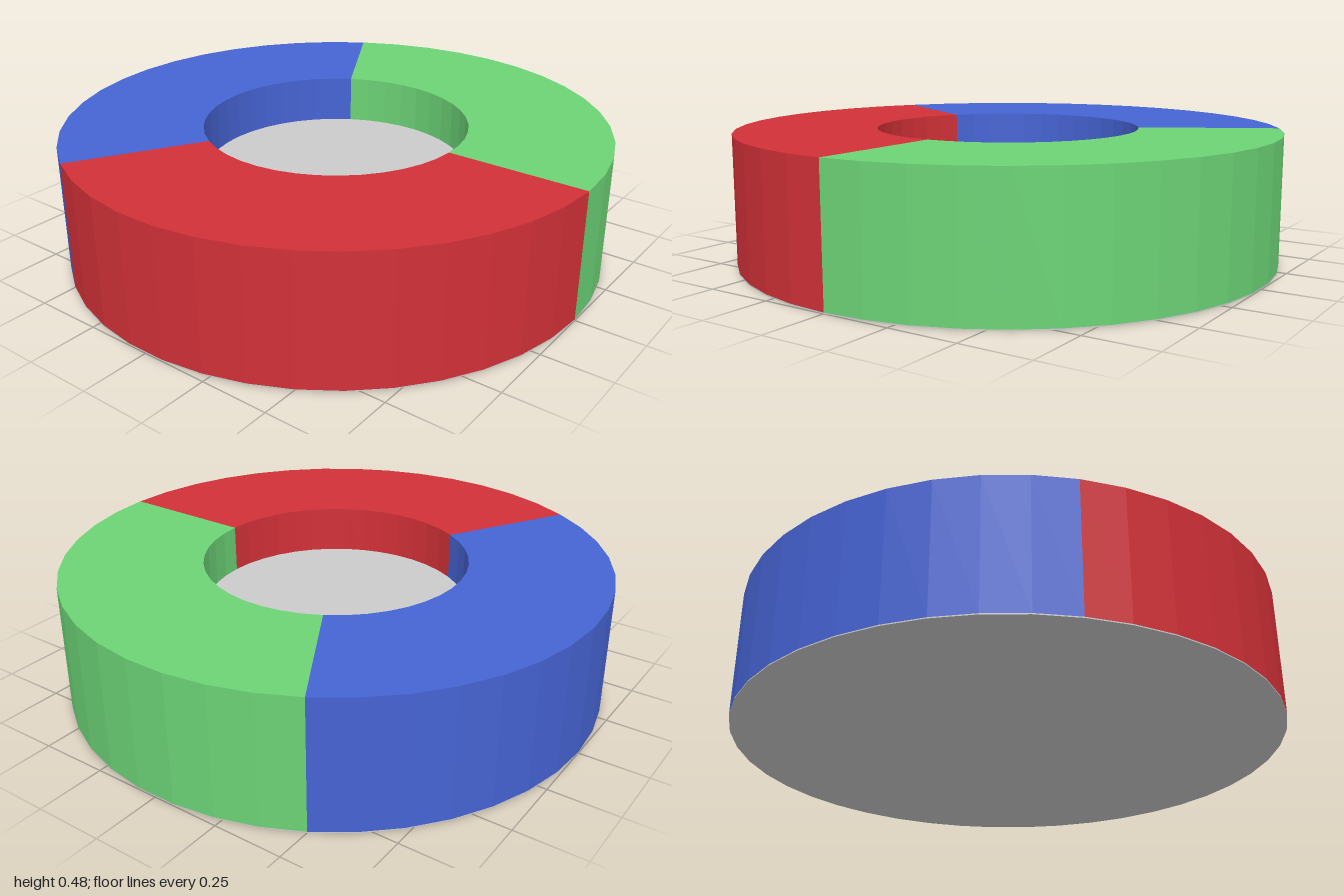
import * as THREE from 'three';

const HEIGHT = 0.477, OUTER = 1, INNER = 0.485, FLOOR = 0.3, BASE = 0.004;
const SEGMENTS = 14; // facets per third of the ring

export function createModel() {
  const group = new THREE.Group();

  const add = (name, geometry, color, y = 0) => {
    const material = new THREE.MeshStandardMaterial({ color, flatShading: true });
    const mesh = new THREE.Mesh(geometry, material);
    mesh.name = name;
    mesh.position.y = y;
    group.add(mesh);
  };

  // Three coloured thirds of the ring, starting at the front and turning to +x
  const profile = [
    [OUTER, BASE], [OUTER, HEIGHT], [INNER, HEIGHT], [INNER, FLOOR],
  ].map(([r, y]) => new THREE.Vector2(r, y));
  const third = (Math.PI * 2) / 3;
  const sectors = [
    ['greenRingSector', 0x6cd376],
    ['blueRingSector', 0x4664d4],
    ['redRingSector', 0xd23138],
  ];
  sectors.forEach(([name, color], i) => {
    add(name, new THREE.LatheGeometry(profile, SEGMENTS, i * third, third), color);
  });

  // Grey floor inside the hole
  const plugHeight = FLOOR - BASE;
  add('holeFloor', new THREE.CylinderGeometry(INNER, INNER, plugHeight, SEGMENTS * 3),
    0xcccccc, BASE + plugHeight / 2);

  // Thin grey underside
  add('basePlate', new THREE.CylinderGeometry(OUTER, OUTER, BASE, SEGMENTS * 3),
    0xcccccc, BASE / 2);

  return group;
}
